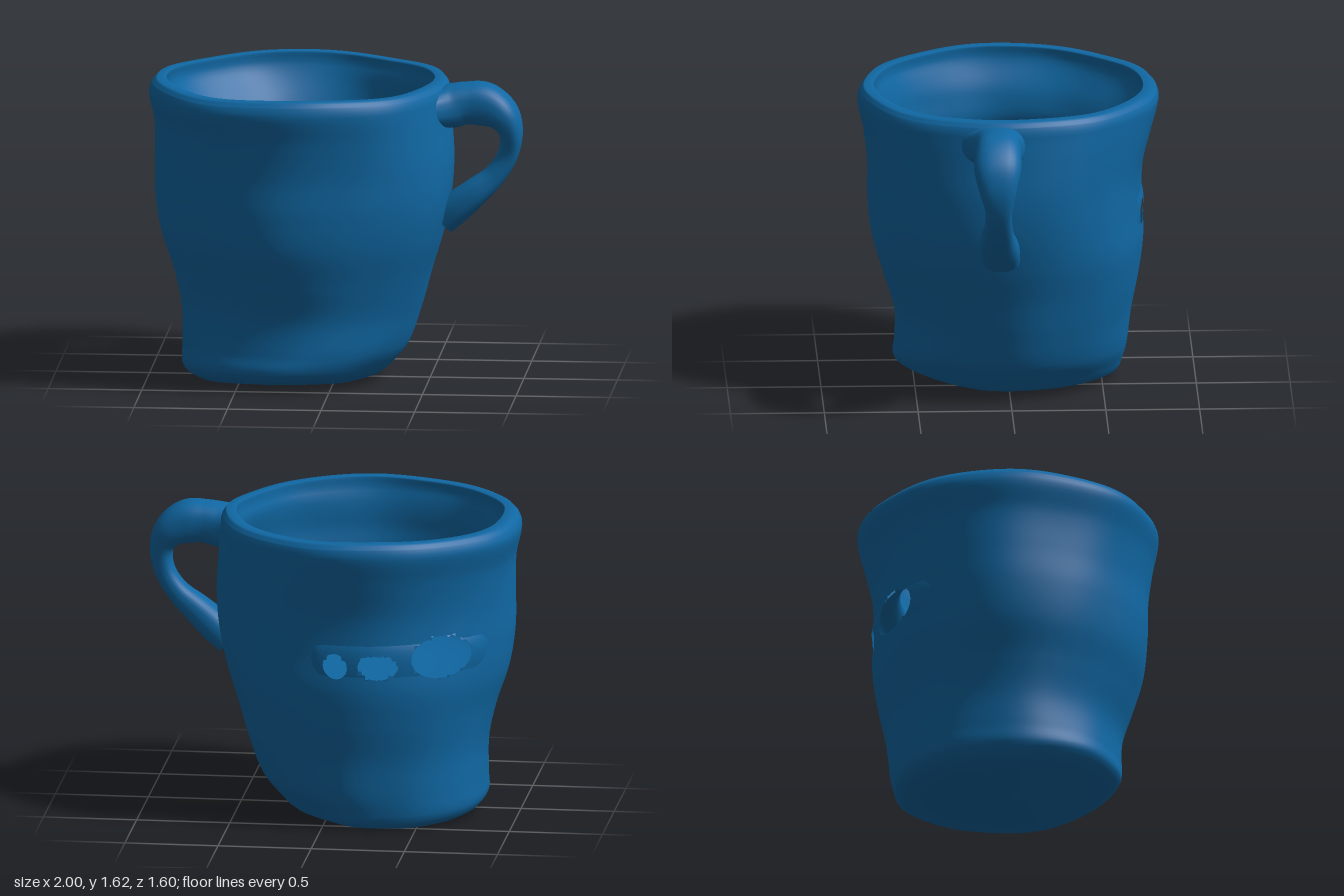
import * as THREE from 'three';

// Outer wall: y, left x, right x, back z, front z
const WALL = [
  [0.015, -0.72, 0.12, -0.53, 0.5], [0.05, -0.79, 0.23, -0.59, 0.58], [0.1, -0.825, 0.29, -0.61, 0.605],
  [0.2, -0.825, 0.375, -0.635, 0.6], [0.4, -0.83, 0.45, -0.66, 0.6], [0.6, -0.87, 0.51, -0.7, 0.66],
  [0.8, -0.93, 0.575, -0.725, 0.72], [1.0, -0.957, 0.62, -0.715, 0.742], [1.2, -0.96, 0.635, -0.72, 0.745],
  [1.4, -0.967, 0.62, -0.765, 0.77], [1.54, -1.0, 0.605, -0.8, 0.8], [1.59, -0.995, 0.6, -0.8, 0.795],
  [1.63, -0.96, 0.57, -0.77, 0.765],
];
// Openings in the back wall: angle from the back towards -x, height, half sizes
const HOLES = [
  { a: 38, y: 0.98, ha: 14, hy: 0.115 },
  { a: 11, y: 0.945, ha: 8, hy: 0.07 },
  { a: -6, y: 0.945, ha: 5, hy: 0.07 },
];
const SEG = 240;
const STEP = 360 / SEG;
const smooth = THREE.MathUtils.smoothstep;

// Smooth interpolation of a table by its first column
function sample(table, v) {
  let i = 0;
  while (i < table.length - 2 && v > table[i + 1][0]) i++;
  const a = table[i], b = table[i + 1];
  const p = table[Math.max(i - 1, 0)], q = table[Math.min(i + 2, table.length - 1)];
  const h = b[0] - a[0], t = THREE.MathUtils.clamp((v - a[0]) / h, 0, 1);
  return a.slice(1).map((_, k) => {
    const c = k + 1;
    const m0 = (b[c] - p[c]) / (b[0] - p[0]) * h, m1 = (q[c] - a[c]) / (q[0] - a[0]) * h;
    return (2 * t ** 3 - 3 * t * t + 1) * a[c] + (t ** 3 - 2 * t * t + t) * m0
      + (3 * t * t - 2 * t ** 3) * b[c] + (t ** 3 - t * t) * m1;
  });
}

// Wall thickness: swells inwards at mid height, pinches to nothing around the openings
function thickness(deg, y) {
  const a = ((deg - 180 + 540) % 360) - 180; // 0 at the back, positive towards -x
  const swell = 0.085 + 0.09 * Math.exp(-(((a - 45) / 65) ** 2));
  const pinch = smooth(a, -30, -12) * (1 - smooth(a, 55, 85));
  const low = THREE.MathUtils.lerp(0.075, 0.006, pinch);
  return sample([[0.78, low + 0.06], [0.86, low], [1.08, low], [1.24, swell], [1.36, swell * 0.95],
    [1.52, 0.1], [1.6, 0.075], [1.63, 0.05]], y)[0];
}

// One grid of rings closed around the axis; skip(i, j) leaves a cell open
function loft(rings, skip = () => false) {
  const n = rings[0].length, index = [];
  for (let i = 0; i < rings.length - 1; i++) {
    for (let j = 0; j < n; j++) {
      if (skip(i, j)) continue;
      const k = (j + 1) % n, a = i * n + j, b = i * n + k, c = a + n, d = b + n;
      index.push(a, b, d, a, d, c);
    }
  }
  const g = new THREE.BufferGeometry();
  g.setAttribute('position', new THREE.Float32BufferAttribute(rings.flat(2), 3));
  g.setIndex(index);
  g.computeVertexNormals();
  return g;
}

const holeDistance = (h, deg, y) => Math.hypot((deg - 180 - h.a) / h.ha, (y - h.y) / h.hy);

// Pull grid points close to an opening onto its rim
function snap(deg, y) {
  for (const h of HOLES) {
    const d = holeDistance(h, deg, y);
    if (Math.abs(d - 1) < Math.max(0.6 * STEP / h.ha, 0.1)) {
      return [180 + h.a + (deg - 180 - h.a) / d, h.y + (y - h.y) / d];
    }
  }
  return [deg, y];
}

function bodyGeometry() {
  // Rows run from the base centre, up the outside, over the lip, down to the inner floor
  const rows = [];
  for (const s of [0, 0.3, 0.6, 0.85]) rows.push({ y: 0.015, s, inner: false });
  for (const y of [0.015, 0.025, 0.035]) rows.push({ y, s: 1, inner: false });
  for (let y = 0.05; y < 1.6; y += 0.025) rows.push({ y, s: 1, inner: false });
  for (const y of [1.605, 1.62, 1.63]) rows.push({ y, s: 1, inner: false });
  for (const y of [1.63, 1.62, 1.605]) rows.push({ y, s: 1, inner: true });
  for (let y = 1.58; y > 0.82; y -= 0.025) rows.push({ y, s: 1, inner: true });
  for (const s of [0.97, 0.9, 0.75, 0.5, 0.25, 0]) {
    rows.push({ y: 0.82, s, inner: true, drop: 0.03 * smooth(1 - s, 0, 0.2) });
  }

  const rings = rows.map((row) => Array.from({ length: SEG }, (_, j) => {
    const [deg, y] = row.s === 1 ? snap(j * STEP, row.y) : [j * STEP, row.y];
    const th = THREE.MathUtils.degToRad(deg);
    const [x0, x1, z0, z1] = sample(WALL, y);
    const t = row.inner ? thickness(deg, y) : 0;
    const wobble = 1 + 0.007 * Math.sin(5 * th + 3 * y) + 0.005 * Math.sin(9 * th - 4 * y + 1);
    const x = (x0 + x1) / 2 + ((x1 - x0) / 2 - t) * row.s * wobble * Math.sin(th);
    const z = (z0 + z1) / 2 + ((z1 - z0) / 2 - t) * row.s * wobble * Math.cos(th);
    // Base lifts at the front, lip is slightly uneven
    const lift = row.inner ? 0 : 0.045 * smooth(z, 0.1, 0.62) * (1 - smooth(y, 0.03, 0.3));
    const lip = 0.006 * Math.sin(4 * th + 1) * smooth(y, 1.5, 1.62);
    return [x, y + lift + lip - (row.drop ?? 0), z];
  }));

  return loft(rings, (i, j) => {
    if (rows[i].s !== 1 || rows[i + 1].s !== 1) return false;
    const y = (rows[i].y + rows[i + 1].y) / 2;
    return HOLES.some((h) => holeDistance(h, (j + 0.5) * STEP, y) < 1);
  });
}

// Handle path: x, y, half thickness, half width, z centre
const HANDLE = [
  [0.54, 1.5, 0.1, 0.19, 0.09], [0.62, 1.505, 0.115, 0.145, 0.085], [0.7, 1.52, 0.112, 0.125, 0.085],
  [0.8, 1.515, 0.115, 0.125, 0.085], [0.895, 1.46, 0.09, 0.125, 0.09], [0.94, 1.36, 0.062, 0.1, 0.09],
  [0.92, 1.24, 0.055, 0.072, 0.085], [0.85, 1.13, 0.06, 0.075, 0.085], [0.75, 1.04, 0.075, 0.092, 0.085],
  [0.65, 0.955, 0.085, 0.105, 0.07], [0.57, 0.88, 0.08, 0.1, 0.06],
];

function handleGeometry() {
  const table = HANDLE.map((r, i) => [i, ...r]);
  const last = HANDLE.length - 1, steps = 60, sides = 28, rings = [];
  for (let i = 0; i <= steps; i++) {
    const u = (i / steps) * last;
    const [x, y, t, w, zc] = sample(table, u);
    const a = sample(table, Math.max(u - 0.1, 0)), b = sample(table, Math.min(u + 0.1, last));
    const len = Math.hypot(b[0] - a[0], b[1] - a[1]);
    const nx = -(b[1] - a[1]) / len, ny = (b[0] - a[0]) / len;
    rings.push(Array.from({ length: sides }, (_, j) => {
      const th = (j / sides) * Math.PI * 2;
      const c = Math.cos(th), s = Math.sin(th);
      // Rounded-square section
      const p = t * Math.sign(c) * Math.abs(c) ** 0.8, q = w * Math.sign(s) * Math.abs(s) ** 0.8;
      return [x + nx * p, y + ny * p, zc + q];
    }));
  }
  return loft(rings);
}

export function createModel() {
  const blue = new THREE.MeshStandardMaterial({ color: 0x1068a4, side: THREE.DoubleSide });
  blue.name = 'blue glaze';

  const mug = new THREE.Group();
  mug.name = 'mug';
  for (const [name, geometry] of [['body', bodyGeometry()], ['handle', handleGeometry()]]) {
    const mesh = new THREE.Mesh(geometry, blue);
    mesh.name = name;
    mug.add(mesh);
  }
  return mug;
}
